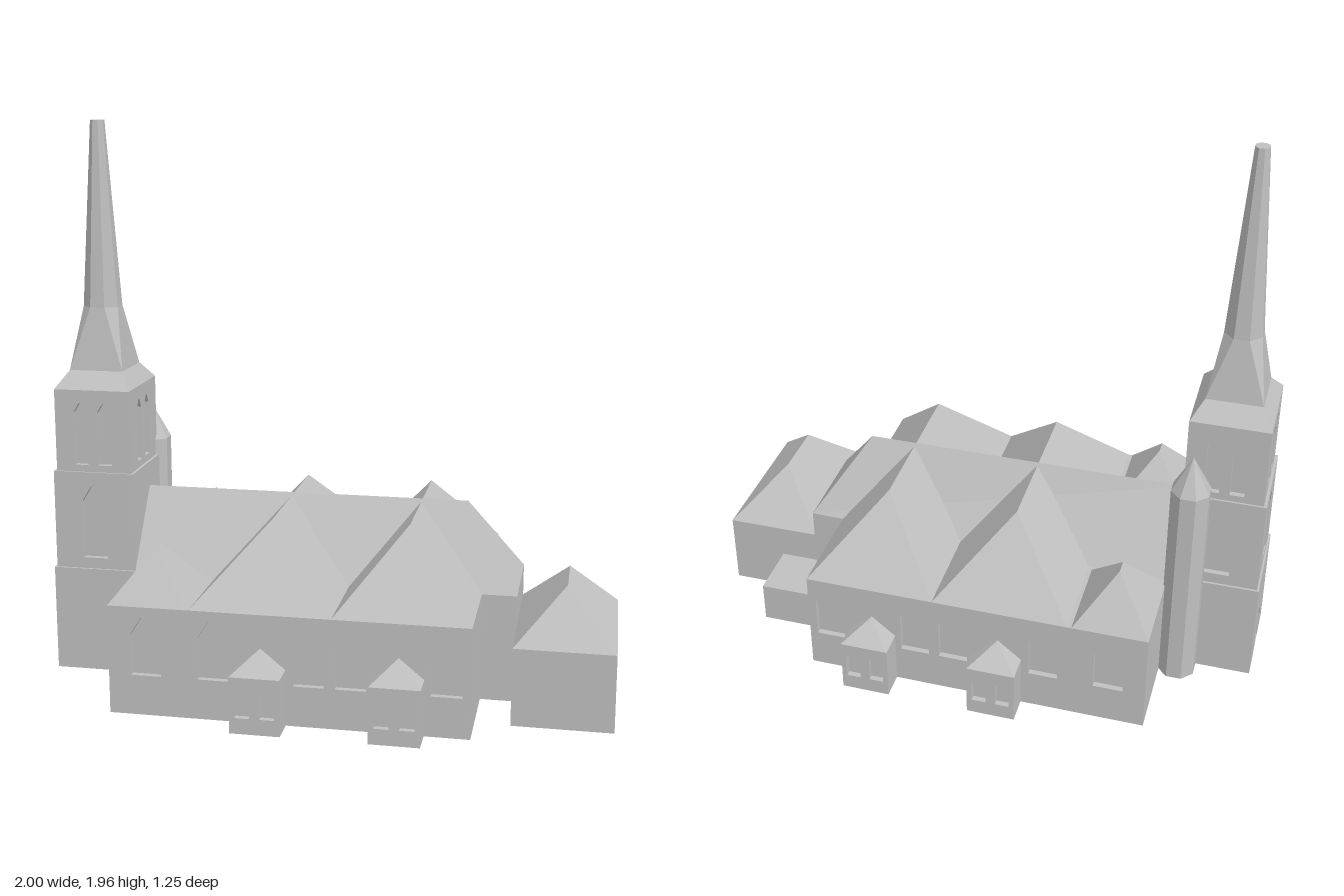
import * as THREE from 'three';

const stone = new THREE.MeshStandardMaterial({ color: 0xc0c0c0 });
stone.name = 'grey stone';
const RECESS = 0.02;

function add(parent, name, geometry, x = 0, y = 0, z = 0) {
  const mesh = new THREE.Mesh(geometry, stone);
  mesh.name = name;
  mesh.position.set(x, y, z);
  parent.add(mesh);
  return mesh;
}

// Box given by its extents
function block(parent, name, x0, x1, y0, y1, z0, z1) {
  return add(parent, name, new THREE.BoxGeometry(x1 - x0, y1 - y0, z1 - z0),
    (x0 + x1) / 2, (y0 + y1) / 2, (z0 + z1) / 2);
}

// Flat-faced geometry from convex polygons
function polygons(faces) {
  const p = [];
  for (const f of faces)
    for (let i = 1; i < f.length - 1; i++) p.push(...f[0], ...f[i], ...f[i + 1]);
  const g = new THREE.BufferGeometry();
  g.setAttribute('position', new THREE.Float32BufferAttribute(p, 3));
  g.computeVertexNormals();
  return g;
}

// Roof over four corners; c0-c1 lies at the r0 end of the ridge
function roof(parent, name, [c0, c1, c2, c3], r0, r1) {
  return add(parent, name, polygons([[c0, c1, r0], [c1, c2, r1, r0], [c2, c3, r1], [c3, c0, r0, r1]]));
}

// Hip roof with its ridge along z, from za (front) to zb (back)
function hipRoof(parent, name, x0, x1, z0, z1, y0, y1, za, zb, xr = (x0 + x1) / 2) {
  return roof(parent, name, [[x0, y0, z1], [x1, y0, z1], [x1, y0, z0], [x0, y0, z0]],
    [xr, y1, za], [xr, y1, zb]);
}

// Pointed window outline: centre, half width, sill, apex
function windowPath([x, w, y0, y1]) {
  const path = new THREE.Path();
  path.moveTo(x - w, y0);
  path.lineTo(x - w, y1 - 1.4 * w);
  path.lineTo(x - 0.3 * w, y1 - 0.25 * w);
  path.lineTo(x, y1);
  path.lineTo(x + 0.3 * w, y1 - 0.25 * w);
  path.lineTo(x + w, y1 - 1.4 * w);
  path.lineTo(x + w, y0);
  path.closePath();
  return path;
}

// Wall slab with window openings, its outer face on local z = 0
function wall(x0, x1, y0, y1, windows) {
  const s = new THREE.Shape();
  s.moveTo(x0, y0);
  s.lineTo(x1, y0);
  s.lineTo(x1, y1);
  s.lineTo(x0, y1);
  s.closePath();
  s.holes = windows.map(windowPath);
  return new THREE.ExtrudeGeometry(s, { depth: RECESS, bevelEnabled: false }).translate(0, 0, -RECESS);
}

// Tower stage: core plus four walls, windows listed as [front, +x, back, -x]
function stage(parent, name, hx, hz, y0, y1, windows) {
  const t = RECESS;
  block(parent, name + 'Core', -hx + t, hx - t, y0, y1, -hz + t, hz - t);
  windows.forEach((list, i) => {
    const half = i % 2 ? hz : hx, out = i % 2 ? hx : hz, a = i * Math.PI / 2;
    const m = add(parent, name + 'Wall', wall(-half, half, y0, y1, list), Math.sin(a) * out, 0, Math.cos(a) * out);
    m.rotation.y = a;
  });
}

// Eight-point rings for the spire
const corners = [[1, 1], [1, -1], [-1, -1], [-1, 1]];
const square = (hx, hz, y) => corners.flatMap(([a, b]) => [[a * hx, y, b * hz], [a * hx, y, b * hz]]);
function octagon(r, y) {
  const k = r * Math.tan(Math.PI / 8);
  return [[k, y, r], [r, y, k], [r, y, -k], [k, y, -r], [-k, y, -r], [-r, y, -k], [-r, y, k], [-k, y, r]];
}

function spireGeometry(rings) {
  const faces = [rings[rings.length - 1]];
  for (let j = 0; j < rings.length - 1; j++)
    for (let i = 0; i < 8; i++) {
      const k = (i + 1) % 8, lo = rings[j], hi = rings[j + 1];
      faces.push([lo[i], lo[k], hi[k]], [lo[i], hi[k], hi[i]]);
    }
  return polygons(faces);
}

export function createModel() {
  const church = new THREE.Group();
  church.name = 'church';

  // Nave and chancel
  block(church, 'nave', -0.69, 0.54, 0, 0.38, -0.2, 0.2);
  block(church, 'chancel', 0.5, 0.66, 0, 0.38, -0.165, 0.19);
  roof(church, 'naveRoof',
    [[0.66, 0.38, 0.19], [0.66, 0.38, -0.165], [-0.69, 0.38, -0.2], [-0.69, 0.38, 0.2]],
    [0.47, 0.655, 0], [-0.69, 0.655, 0]);

  // Aisles, alike on both long sides
  block(church, 'aisleCore', -0.68, 0.54, 0, 0.38, -0.53 + RECESS, 0.53 - RECESS);
  for (const s of [1, -1]) {
    const side = new THREE.Group();
    side.name = s > 0 ? 'frontAisle' : 'backAisle';
    side.rotation.y = s > 0 ? 0 : Math.PI;
    church.add(side);
    const span = (a, b) => s > 0 ? [a, b] : [-b, -a];

    const windows = [-0.55, -0.32, 0.005, 0.145, 0.46].map(x => [s * x, 0.052, 0.14, 0.355]);
    add(side, 'aisleWall', wall(...span(-0.68, 0.54), 0, 0.38, windows), 0, 0, 0.53);

    // Two cross roofs and the small west one
    hipRoof(side, 'crossRoof', ...span(-0.4, 0.08), 0, 0.53, 0.38, 0.645, 0.29, 0, s * -0.16);
    hipRoof(side, 'crossRoof', ...span(0.08, 0.54), 0, 0.53, 0.38, 0.645, 0.29, 0, s * 0.305);
    hipRoof(side, 'westRoof', ...span(-0.68, -0.415), 0.208, 0.53, 0.38, 0.55, 0.395, 0.345);

    // Porches
    for (const x of [-0.157, 0.303]) {
      const porch = new THREE.Group();
      porch.name = 'porch';
      porch.position.x = s * x;
      side.add(porch);
      block(porch, 'porchCore', -0.085, 0.085, 0, 0.195, 0.5, 0.623 - RECESS);
      add(porch, 'porchWall', wall(-0.085, 0.085, 0, 0.195,
        [-0.042, 0.042].map(c => [c, 0.025, 0.055, 0.17])), 0, 0, 0.623);
      hipRoof(porch, 'porchRoof', -0.085, 0.085, 0.53, 0.623, 0.195, 0.265, 0.535, 0.53);
    }
  }

  // East annex and low flat annex
  block(church, 'annex', 0.66, 1, 0, 0.27, -0.155, 0.395);
  hipRoof(church, 'annexRoof', 0.66, 1, -0.155, 0.395, 0.27, 0.445, 0.23, 0.02);
  block(church, 'flatAnnex', 0.52, 0.8, 0, 0.15, -0.355, -0.15);

  // Tower
  const tower = new THREE.Group();
  tower.name = 'tower';
  tower.position.x = -0.846;
  church.add(tower);
  const single = [[0, 0.045, 0.42, 0.69]];
  const pair = [-0.043, 0.043].map(x => [x, 0.025, 0.76, 0.985]);
  const door = [[0, 0.04, 0.01, 0.17]];
  stage(tower, 'lowerStage', 0.154, 0.17, 0, 0.38, [[], [], [], door]);
  stage(tower, 'middleStage', 0.147, 0.162, 0.38, 0.735, [single, [], single, single]);
  stage(tower, 'belfry', 0.137, 0.155, 0.735, 1.03, [pair, pair, pair, pair]);
  add(tower, 'spire', spireGeometry([square(0.137, 0.155, 1.03), square(0.097, 0.097, 1.09),
    octagon(0.063, 1.31), octagon(0.023, 1.96)]));

  // Stair turret
  const turret = (name, top, h, y) => add(church, name,
    new THREE.CylinderGeometry(top, 0.07, h, 8, 1, false, Math.PI / 8).toNonIndexed(), -0.74, y, -0.2)
    .geometry.computeVertexNormals();
  turret('stairTurret', 0.07, 0.79, 0.395);
  turret('turretRoof', 0, 0.13, 0.855);

  return church;
}
